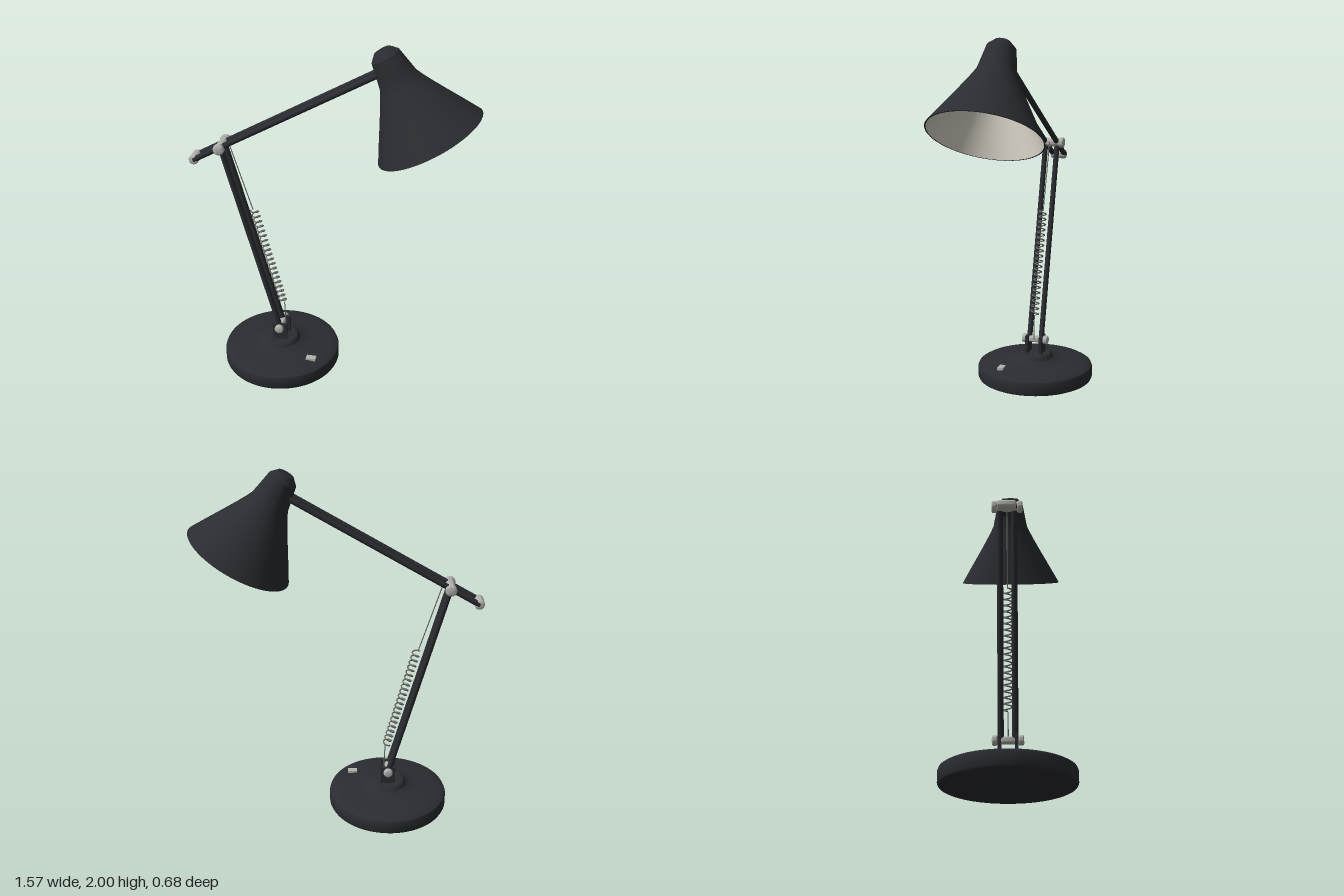
import * as THREE from 'three';
import { toCreasedNormals } from 'three/addons/utils/BufferGeometryUtils.js';

const paint = (color, side = THREE.FrontSide) => {
  const m = new THREE.MeshStandardMaterial({ side });
  m.color.set(color);
  return m;
};
const black = paint(0x2a2c31);
const metal = paint(0xb4b4b0);
const springSteel = paint(0x70706e);
const cream = paint(0xe2ddd0, THREE.DoubleSide);
const bulbGlass = paint(0xe9dfc4);

const V = (x, y, z = 0) => new THREE.Vector3(x, y, z);

function add(parent, name, geometry, material) {
  const mesh = new THREE.Mesh(geometry, material);
  mesh.name = name;
  parent.add(mesh);
  return mesh;
}

// Turned shape from [radius, height] pairs listed bottom to top
function turned(pairs, segments = 64, crease = 0.5) {
  const pts = pairs.map(([r, y]) => new THREE.Vector2(r, y));
  return toCreasedNormals(new THREE.LatheGeometry(pts, segments), crease);
}

// Straight round bar between two points
function rod(parent, name, a, b, radius, material, sides = 20) {
  const dir = b.clone().sub(a);
  const mesh = add(parent, name, new THREE.CylinderGeometry(radius, radius, dir.length(), sides), material);
  mesh.position.copy(a).add(b).multiplyScalar(0.5);
  mesh.quaternion.setFromUnitVectors(V(0, 1, 0), dir.normalize());
}

// Knob with bevelled rims, lying along z
function knob(parent, name, at, radius, half) {
  const c = 0.008;
  const mesh = add(parent, name, turned([
    [0, -half], [radius - c, -half], [radius - c * 0.3, -half + c * 0.3], [radius, -half + c],
    [radius, half - c], [radius - c * 0.3, half - c * 0.3], [radius - c, half], [0, half],
  ], 28, 0.9), metal);
  mesh.rotation.x = Math.PI / 2;
  mesh.position.copy(at);
}

// Hinge pin: slim core with a knob at either end
function hinge(parent, name, at, coreRadius, knobRadius) {
  const g = new THREE.Group();
  g.name = name;
  parent.add(g);
  knob(g, 'hingeCore', at, coreRadius, 0.06);
  for (const s of [-1, 1]) knob(g, 'hingeKnob', V(at.x, at.y, s * 0.065), knobRadius, 0.014);
}

class Coil extends THREE.Curve {
  constructor(a, b, radius, turns) {
    super();
    Object.assign(this, { a, b, radius, turns });
    this.side = b.clone().sub(a).normalize().cross(V(0, 0, 1));
  }
  getPoint(t, target = new THREE.Vector3()) {
    const w = t * this.turns * Math.PI * 2;
    return target.copy(this.a).lerp(this.b, t)
      .addScaledVector(this.side, Math.cos(w) * this.radius)
      .add(V(0, 0, Math.sin(w) * this.radius));
  }
}

export function createModel() {
  const lamp = new THREE.Group();
  lamp.name = 'deskLamp';

  const foot = V(-0.297, 0.232);
  const elbow = V(-0.602, 1.375);
  const tail = V(-0.76, 1.285);
  const neck = V(0.285, 1.878);

  // Weighted base with raised collar
  const base = add(lamp, 'base', turned([
    [0, 0], [0.325, 0], [0.335, 0.005], [0.34, 0.015], [0.34, 0.07], [0.335, 0.083], [0.32, 0.092],
    [0.29, 0.098], [0.22, 0.106], [0.16, 0.115], [0.11, 0.125],
    [0.106, 0.128], [0.1, 0.142], [0.09, 0.151], [0, 0.151],
  ], 80), black);
  base.position.x = foot.x;

  const button = add(lamp, 'switch', new THREE.BoxGeometry(0.056, 0.02, 0.034), metal);
  button.position.set(-0.087, 0.105, 0.14);

  // Base bracket cheeks
  for (const s of [-1, 1]) {
    const cheek = add(lamp, 'bracketCheek', new THREE.BoxGeometry(0.083, 0.115, 0.017), black);
    cheek.position.set(foot.x, 0.1975, s * 0.042);
  }

  // Twin arms
  for (const s of [-1, 1]) {
    const z = s * 0.036;
    rod(lamp, 'lowerArm', V(foot.x, foot.y - 0.01, z), V(elbow.x, elbow.y, z), 0.0155, black);
    rod(lamp, 'upperArm', V(tail.x, tail.y, z), V(neck.x, neck.y, z), 0.0155, black);
  }

  // Joints
  hinge(lamp, 'baseHinge', foot, 0.02, 0.026);
  hinge(lamp, 'elbowHinge', elbow, 0.026, 0.031);
  knob(lamp, 'armEndBar', tail, 0.027, 0.047);

  // Tension spring with its wires
  const springTop = V(-0.438, 0.99), springLow = V(-0.283, 0.385);
  add(lamp, 'spring', new THREE.TubeGeometry(new Coil(springTop, springLow, 0.021, 20), 640, 0.004, 6), springSteel);
  rod(lamp, 'springWire', V(-0.562, 1.38), V(-0.445, 0.99), 0.003, springSteel, 8);
  rod(lamp, 'springWire', V(-0.277, 0.385), V(-0.272, 0.235), 0.003, springSteel, 8);

  // Head, built upright around its axis and then tilted
  const head = new THREE.Group();
  head.name = 'head';
  head.position.set(0.52, 1.525, 0);
  head.rotation.z = Math.PI / 6;
  lamp.add(head);

  const wall = [[0.3, 0], [0.245, 0.096], [0.19, 0.19], [0.153, 0.255], [0.122, 0.312], [0.104, 0.35]];
  add(head, 'shade', turned([
    [0.293, 0], ...wall, [0.094, 0.4], [0.08, 0.472], [0.077, 0.487], [0.045, 0.521], [0, 0.524],
  ], 80), black);
  add(head, 'shadeLining', turned(
    [[0, 0.35], ...wall.map(([r, y]) => [r - 0.007, y]).reverse()], 80), cream);

  // Bulb and socket
  const socket = add(head, 'bulbSocket', new THREE.CylinderGeometry(0.045, 0.045, 0.09, 28), metal);
  socket.position.y = 0.31;
  const bulb = add(head, 'bulb', new THREE.SphereGeometry(0.08, 36, 24), bulbGlass);
  bulb.position.y = 0.21;

  return lamp;
}
